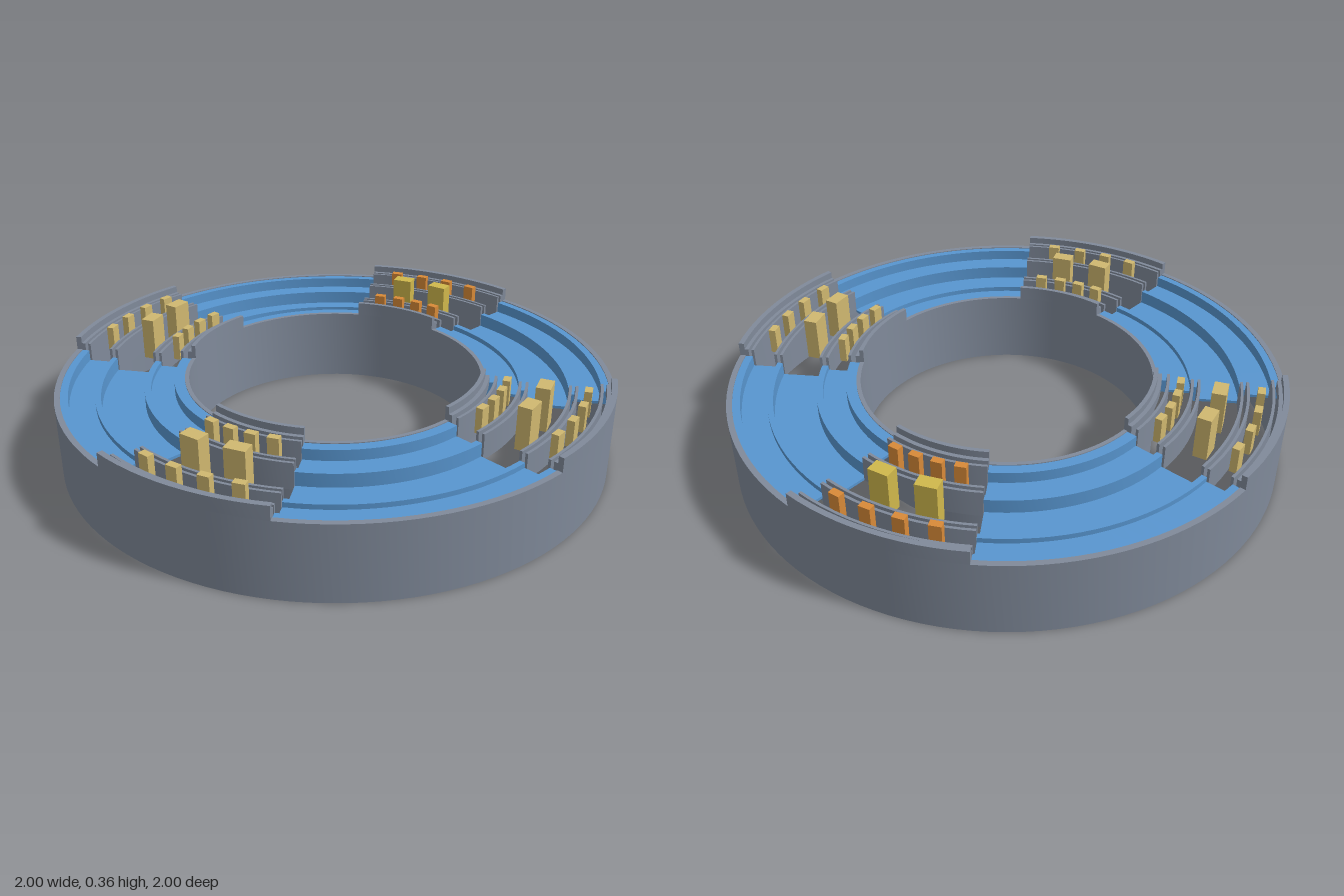
import * as THREE from 'three';
import { mergeGeometries, toCreasedNormals } from 'three/addons/utils/BufferGeometryUtils.js';

const DEG = Math.PI / 180;
const TOWN = 36; // degrees of each open sector; the rest of the quarter is a blue valley

const mat = (name, color, side = THREE.DoubleSide) => {
  const m = new THREE.MeshStandardMaterial({ color, side });
  m.name = name;
  return m;
};

// Sweep a closed profile of [radius, height] corners from angle a0 over an arc, with flat ends
function arcSolid(points, a0, arc) {
  const profile = points.map(([r, y]) => new THREE.Vector2(r, y));
  const closed = [...profile, profile[0].clone()];
  const segments = Math.max(8, Math.round(arc / 3));
  const parts = [new THREE.LatheGeometry(closed, segments, (90 + a0) * DEG, arc * DEG).toNonIndexed()];
  if (arc < 360) {
    for (const a of [a0, a0 + arc]) {
      parts.push(new THREE.ShapeGeometry(new THREE.Shape(profile)).rotateY(a * DEG).toNonIndexed());
    }
  }
  return toCreasedNormals(mergeGeometries(parts), 0.5);
}

const band = (r0, r1, y0, y1) => [[r1, y0], [r1, y1], [r0, y1], [r0, y0]];

export function createModel() {
  const model = new THREE.Group();
  model.name = 'ringHabitat';

  const hull = mat('hull grey', 0x808a9a);
  const blue = mat('valley blue', 0x5896d0);
  const tan = mat('building tan', 0xd0b870, THREE.FrontSide);
  const yellow = mat('building yellow', 0xd0b84c, THREE.FrontSide);
  const orange = mat('building orange', 0xd88a38, THREE.FrontSide);

  const add = (parent, name, geometry, material) => {
    const mesh = new THREE.Mesh(geometry, material);
    mesh.name = name;
    parent.add(mesh);
    return mesh;
  };

  // Full outer and inner walls
  add(model, 'outerWall', arcSolid(band(0.98, 1, 0, 0.275), 0, 360), hull);
  add(model, 'innerWall', arcSolid(band(0.53, 0.545, 0, 0.275), 0, 360), hull);

  // Stepped blue valley: top surface from the outer rim to the inner rim, then its underside
  const steps = [
    [0.98, 0.272], [0.953, 0.272], [0.953, 0.232], [0.862, 0.232], [0.862, 0.25], [0.842, 0.25],
    [0.842, 0.2], [0.69, 0.2], [0.69, 0.25], [0.667, 0.25], [0.667, 0.232], [0.583, 0.232],
    [0.583, 0.272], [0.545, 0.272],
  ];
  const underside = [
    [0.545, 0.222], [0.677, 0.222], [0.677, 0.19], [0.855, 0.19], [0.855, 0.222], [0.98, 0.222],
  ];

  // Raised rims, shelves and thin terrace walls of an open sector
  const rails = [
    ['outerRim', 0.98, 1, 0.275, 0.325], ['outerShelf', 0.966, 0.98, 0.265, 0.3],
    ['outerTerraceWall', 0.945, 0.955, 0.19, 0.3],
    ['outerRidgeOuterWall', 0.86, 0.87, 0.19, 0.285], ['outerRidgeInnerWall', 0.838, 0.848, 0.19, 0.285],
    ['innerRidgeOuterWall', 0.688, 0.698, 0.19, 0.285], ['innerRidgeInnerWall', 0.664, 0.674, 0.19, 0.285],
    ['innerTerraceWall', 0.578, 0.588, 0.19, 0.3],
    ['innerShelf', 0.545, 0.56, 0.265, 0.3], ['innerRim', 0.53, 0.545, 0.275, 0.325],
  ];

  for (let q = 0; q < 4; q++) {
    const a0 = q * 90;
    add(model, 'blueValley', arcSolid([...steps, ...underside], a0 + TOWN, 90 - TOWN), blue);

    const town = new THREE.Group();
    town.name = 'openSector';
    model.add(town);
    for (const [name, r0, r1, y0, y1] of rails) {
      add(town, name, arcSolid(band(r0, r1, y0, y1), a0, TOWN), hull);
    }

    // Rows of block buildings, evenly spaced along each terrace
    const row = (name, count, r, depth, width, y0, y1, material) => {
      for (let i = 1; i <= count; i++) {
        const a = (a0 + TOWN * i / (count + 1)) * DEG;
        const block = add(town, name, new THREE.BoxGeometry(depth, y1 - y0, width), material);
        block.position.set(r * Math.cos(a), (y0 + y1) / 2, -r * Math.sin(a));
        block.rotation.y = a;
      }
    };
    const small = q === 0 ? orange : tan;
    row('outerSmallBuilding', 4, 0.905, 0.026, 0.042, 0.235, 0.33, small);
    row('tallBuilding', 2, 0.767, 0.05, 0.075, 0.2, 0.36, q === 0 ? yellow : tan);
    row('innerSmallBuilding', 4, 0.627, 0.026, 0.04, 0.235, 0.33, small);
  }
  return model;
}
